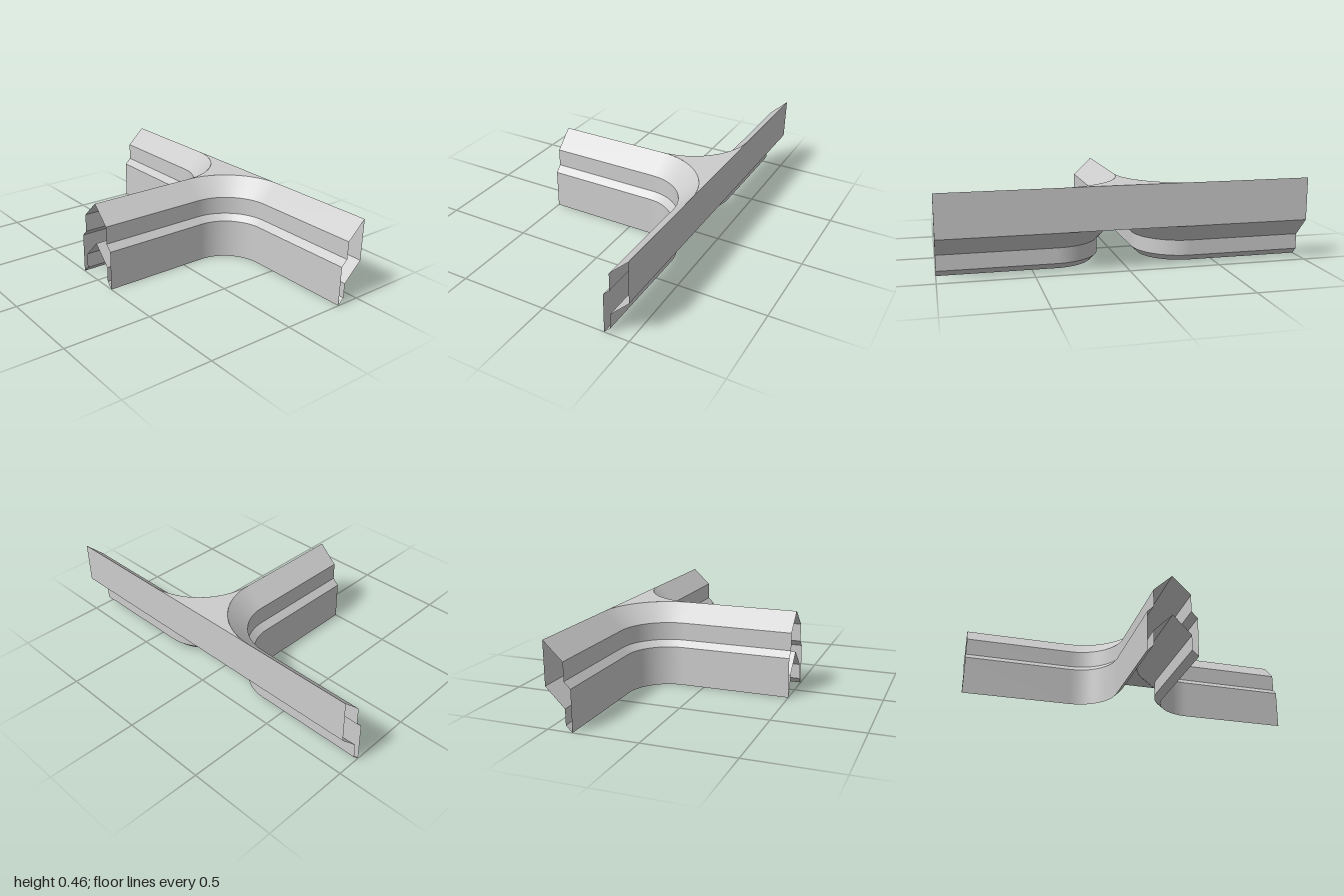
import * as THREE from 'three';

const BACK = -0.5, R = 0.37, ARC_STEPS = 16;
const TOP = 0.46, UNDER = 0.225;

// Half cross-section: [distance from the centre line, height], down the outside and up the inside
const PROFILE = [
  [0, TOP], [0.105, 0.36], [0.105, 0.26], [0.14, 0.225],
  [0.14, 0], [0.105, 0.035], [0.105, 0.12], [0, UNDER],
];
const STRIP_NAMES = ['roofSlope', 'upperWall', 'ledge', 'lowerWall', 'bottomLip', 'innerWall', 'undersideSlope'];

// Path of the centre edge: along the stem, round the bend, out along the arm
function makePath() {
  const path = [{ x: 0, z: 0.5, nx: 1, nz: 0 }];
  for (let i = 0; i <= ARC_STEPS; i++) {
    const a = (i / ARC_STEPS) * Math.PI / 2, c = Math.cos(a), s = Math.sin(a);
    path.push({ x: R - R * c, z: BACK + R - R * s, nx: c, nz: s });
  }
  path.push({ x: 1, z: BACK, nx: 0, nz: 1 });
  return path;
}

// One smooth strip swept along the path between two profile points
function sweepStrip(path, from, to, side) {
  const pos = [], normal = [], index = [];
  const du = to[0] - from[0], dy = to[1] - from[1], len = Math.hypot(du, dy);
  path.forEach((p, i) => {
    for (const [d, y] of [from, to]) {
      pos.push(side * (p.x + p.nx * d), y, p.z + p.nz * d);
      normal.push(side * p.nx * -dy / len, du / len, p.nz * -dy / len);
    }
    if (i === path.length - 1) return;
    const a = i * 2, b = a + 1;
    if (side > 0) index.push(a, b, a + 2, b, b + 2, a + 2);
    else index.push(a, a + 2, b, b, a + 2, b + 2);
  });
  const g = new THREE.BufferGeometry();
  g.setAttribute('position', new THREE.Float32BufferAttribute(pos, 3));
  g.setAttribute('normal', new THREE.Float32BufferAttribute(normal, 3));
  g.setIndex(index);
  return g;
}

// Flat infill between the two bends and the back edge
function infill() {
  const s = new THREE.Shape();
  s.moveTo(0, -BACK - R);
  s.absarc(R, -BACK - R, R, Math.PI, Math.PI / 2, true);
  s.lineTo(-R, -BACK);
  s.absarc(-R, -BACK - R, R, Math.PI / 2, 0, true);
  return new THREE.ShapeGeometry(s, ARC_STEPS).rotateX(-Math.PI / 2);
}

export function createModel() {
  const group = new THREE.Group();
  group.name = 'teeJunction';
  const grey = new THREE.MeshStandardMaterial({ color: 0xcccccc, side: THREE.DoubleSide });
  grey.name = 'lightGrey';
  const add = (parent, name, geometry) => {
    const m = new THREE.Mesh(geometry, grey);
    m.name = name;
    parent.add(m);
    return m;
  };

  // Mirrored halves, left open at the ends
  const path = makePath();
  for (const side of [1, -1]) {
    const half = new THREE.Group();
    half.name = side > 0 ? 'leftHalf' : 'rightHalf';
    STRIP_NAMES.forEach((name, i) => add(half, name, sweepStrip(path, PROFILE[i], PROFILE[i + 1], side)));
    group.add(half);
  }

  // Infill plates above and below
  add(group, 'topPlate', infill()).position.y = TOP;
  add(group, 'undersidePlate', infill().rotateZ(Math.PI)).position.y = UNDER;

  // Straight back wall
  add(group, 'backWall', new THREE.PlaneGeometry(2, TOP - UNDER).rotateY(Math.PI))
    .position.set(0, (TOP + UNDER) / 2, BACK);
  return group;
}
